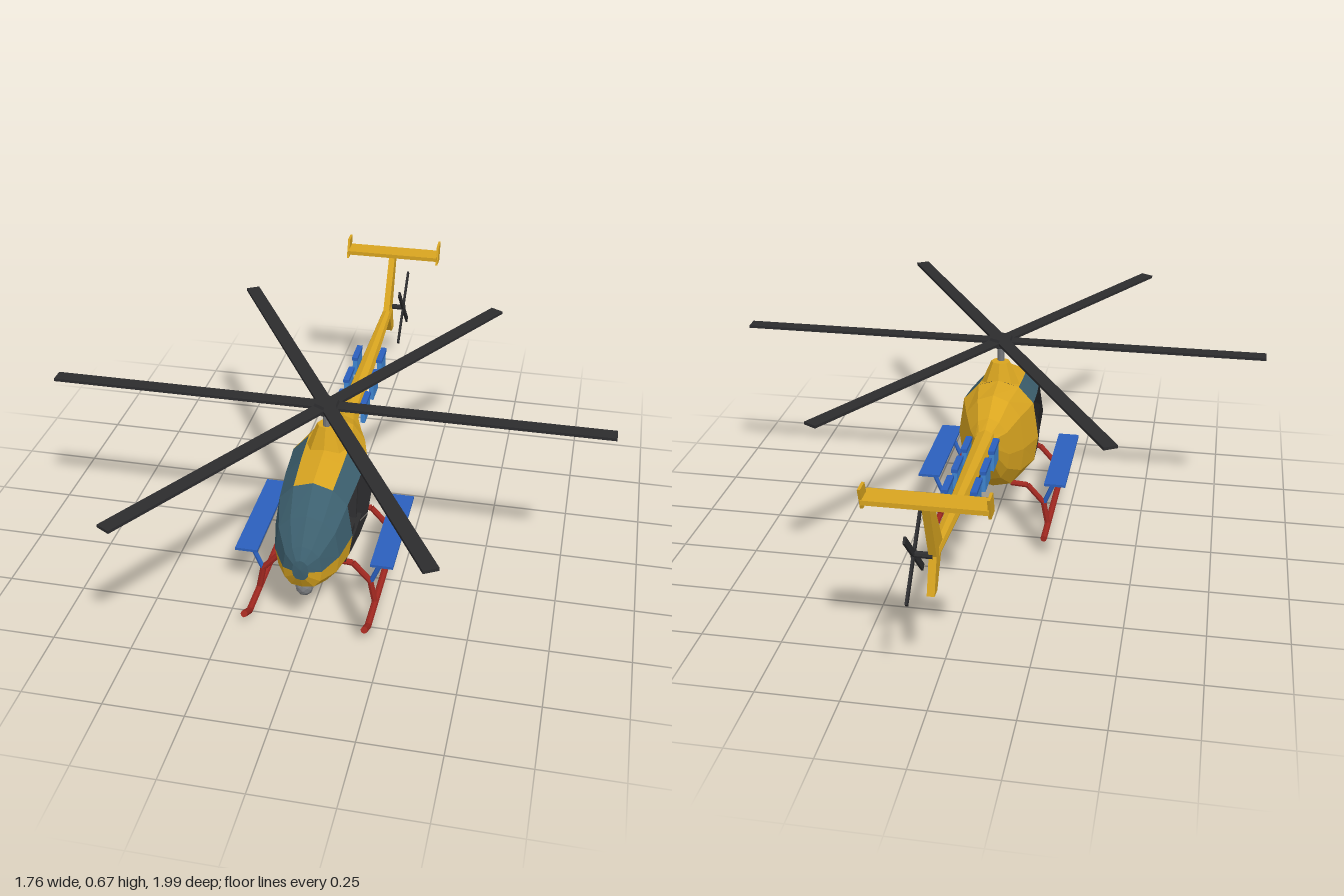
import * as THREE from 'three';

const mat = (name, color, extra = {}) => {
  const m = new THREE.MeshStandardMaterial({ color, flatShading: true, ...extra });
  m.name = name;
  return m;
};

export function createModel() {
  const root = new THREE.Group();
  root.name = 'helicopter';
  const yellow = mat('yellow paint', 0xd9a520);
  const glass = mat('dark teal glass', 0x3c5f6e);
  const dark = mat('rotor black', 0x2c2c2e);
  const red = mat('skid red', 0xa02820);
  const blue = mat('platform blue', 0x2b60bd);
  const lightBlue = mat('panel blue', 0x3f86d2);
  const grey = mat('metal grey', 0x77797c);

  const add = (name, geo, material, x = 0, y = 0, z = 0, parent = root) => {
    const m = new THREE.Mesh(geo, material);
    m.name = name;
    m.position.set(x, y, z);
    parent.add(m);
    return m;
  };
  const box = (name, w, h, d, material, x, y, z, parent) =>
    add(name, new THREE.BoxGeometry(w, h, d), material, x, y, z, parent);

  // Straight rod between two points
  const rod = (name, a, b, r0, r1, material, sides = 8) => {
    const p = new THREE.Vector3(...a), q = new THREE.Vector3(...b);
    const m = add(name, new THREE.CylinderGeometry(r1, r0, p.distanceTo(q), sides), material);
    m.position.copy(p).lerp(q, 0.5);
    m.quaternion.setFromUnitVectors(new THREE.Vector3(0, 1, 0), q.sub(p).normalize());
    return m;
  };
  const path = (name, pts, r, material) => {
    for (let i = 0; i < pts.length - 1; i++) rod(name, pts[i], pts[i + 1], r, r, material);
  };

  // Fuselage stations: z, top, bottom, half width
  const stations = [
    [0.6, 0.3, 0.23, 0.025], [0.575, 0.335, 0.185, 0.06], [0.51, 0.4, 0.16, 0.1],
    [0.42, 0.46, 0.147, 0.122], [0.3, 0.48, 0.137, 0.133], [0.18, 0.497, 0.134, 0.138],
    [0.07, 0.487, 0.15, 0.105], [-0.02, 0.445, 0.22, 0.07], [-0.1, 0.425, 0.335, 0.036],
  ];
  const fx = [0, 0.5, 0.87, 1, 0.91, 0.58, 0];
  const fy = [0, 0.06, 0.215, 0.56, 0.8, 0.96, 1];
  const ring = ([z, top, bottom, w]) => Array.from({ length: 12 }, (_, k) => {
    const j = k <= 6 ? k : 12 - k;
    return [(k <= 6 ? 1 : -1) * fx[j] * w, top + (bottom - top) * fy[j], z];
  });
  const rings = stations.map(ring);

  // Skin panels chosen by bay (nose to tail) and row (roof to belly)
  const skin = (name, material, pick, inward = false) => {
    const pos = [];
    const tri = (a, b, c) => pos.push(...a, ...(inward ? c : b), ...(inward ? b : c));
    for (let i = 0; i < rings.length - 1; i++) {
      for (let k = 0; k < 12; k++) {
        if (!pick(i, k < 6 ? k : 11 - k)) continue;
        const n = (k + 1) % 12;
        const a = rings[i][k], b = rings[i][n], c = rings[i + 1][n], d = rings[i + 1][k];
        tri(a, b, c);
        tri(a, c, d);
      }
    }
    if (pick(-1, 0)) {
      for (let k = 0; k < 12; k++) tri([0, 0.268, 0.603], rings[0][(k + 1) % 12], rings[0][k]);
    }
    const g = new THREE.BufferGeometry();
    g.setAttribute('position', new THREE.Float32BufferAttribute(pos, 3));
    g.computeVertexNormals();
    return add(name, g, material);
  };
  const isDoor = (i, r) => (i === 3 || i === 4) && (r === 2 || r === 3);
  const isGlass = (i, r) => i < 3 ? r < 3 : i < 5 && r === 1;
  skin('canopyGlass', glass, isGlass);
  skin('fuselage', yellow, (i, r) => !isGlass(i, r) && !isDoor(i, r));
  skin('cabinLining', dark, (i, r) => i < 5 && !isDoor(i, r), true);

  // Cabin interior
  const wall = new THREE.Shape(rings[5].map(([x, y]) => new THREE.Vector2(x * 0.98, y)));
  add('bulkhead', new THREE.ExtrudeGeometry(wall, { depth: 0.006, bevelEnabled: false }), dark, 0, 0, 0.176);
  box('cabinFloor', 0.21, 0.008, 0.26, dark, 0, 0.2, 0.31);
  for (const s of [1, -1]) {
    box('seatCushion', 0.085, 0.022, 0.095, dark, s * 0.055, 0.214, 0.312);
    const back = box('seatBack', 0.085, 0.125, 0.014, dark, s * 0.055, 0.288, 0.227);
    back.rotation.x = -0.2;
    rod('controlStick', [s * 0.055, 0.2, 0.385], [s * 0.055, 0.262, 0.37], 0.004, 0.004, dark, 6);
  }
  box('instrumentPanel', 0.08, 0.09, 0.03, dark, 0, 0.245, 0.46);

  // Nose sensor and engine exhaust
  add('noseSensor', new THREE.IcosahedronGeometry(0.028, 1), grey, 0, 0.168, 0.55);
  rod('exhaust', [0, 0.325, -0.03], [0, 0.315, -0.172], 0.025, 0.025, dark, 8);

  // Main rotor
  const fairing = add('mastFairing', new THREE.CylinderGeometry(0.032, 0.068, 0.085, 8), yellow, 0, 0.508, 0.218);
  fairing.scale.z = 0.85;
  rod('rotorMast', [0, 0.54, 0.227], [0, 0.615, 0.227], 0.012, 0.012, grey);
  const rotor = new THREE.Group();
  rotor.name = 'mainRotor';
  rotor.position.set(0, 0.622, 0.227);
  root.add(rotor);
  add('rotorHub', new THREE.CylinderGeometry(0.038, 0.05, 0.026, 6), dark, 0, 0, 0, rotor);
  for (let i = 0; i < 6; i++) {
    const arm = new THREE.Group();
    arm.name = 'rotorBladeArm';
    arm.rotation.y = i * Math.PI / 3;
    rotor.add(arm);
    box('rotorBlade', 0.86, 0.009, 0.046, dark, 0.45, 0, 0, arm);
  }

  // Tail boom with side panels
  rod('tailBoom', [0, 0.393, -0.07], [0, 0.429, -0.86], 0.037, 0.017, yellow, 8);
  [[-0.175, 0.387], [-0.327, 0.392], [-0.477, 0.4]].forEach(([z, y]) => {
    for (const s of [1, -1]) {
      box('boomPanel', 0.016, 0.066, 0.086, lightBlue, s * 0.044, y, z);
      box('boomPanelLid', 0.02, 0.012, 0.098, blue, s * 0.044, y + 0.033, z);
    }
  });

  // Tail fin, stabilizer and end plates, drawn as (z, y) side outlines
  const plate = (name, pts, thick, x) => {
    const shape = new THREE.Shape(pts.map(([z, y]) => new THREE.Vector2(-z, y)));
    const g = new THREE.ExtrudeGeometry(shape, { depth: thick, bevelEnabled: false });
    g.translate(0, 0, -thick / 2).rotateY(Math.PI / 2);
    return add(name, g, yellow, x);
  };
  plate('tailFin', [[-0.81, 0.44], [-0.92, 0.625], [-0.965, 0.625], [-0.89, 0.43],
    [-0.925, 0.325], [-0.888, 0.325], [-0.83, 0.415]], 0.022, 0);
  box('stabilizer', 0.34, 0.014, 0.074, yellow, 0, 0.627, -0.943);
  for (const s of [1, -1]) {
    plate('stabilizerEndPlate', [[-0.915, 0.602], [-0.94, 0.668], [-0.987, 0.668], [-0.965, 0.602]], 0.008, s * 0.17);
  }

  // Tail rotor
  rod('tailRotorShaft', [0, 0.43, -0.885], [0.06, 0.43, -0.885], 0.01, 0.01, dark);
  for (const s of [1, -1]) {
    const blade = box('tailRotorBlade', 0.007, 0.285, 0.02, dark, 0.053, 0.43, -0.885);
    blade.rotation.x = s * Math.PI / 4;
  }

  // Landing skids and side platforms
  for (const s of [1, -1]) {
    path('skid', [[s * 0.19, 0.012, -0.025], [s * 0.19, 0.012, 0.51], [s * 0.19, 0.046, 0.572]], 0.011, red);
    for (const z of [0.08, 0.39]) {
      path('skidStrut', [[s * 0.06, 0.162, z], [s * 0.118, 0.158, z], [s * 0.174, 0.095, z], [s * 0.19, 0.012, z]], 0.01, red);
      rod('platformSupport', [s * 0.176, 0.095, z], [s * 0.213, 0.184, z], 0.008, 0.008, blue);
    }
    box('sidePlatform', 0.072, 0.009, 0.4, blue, s * 0.216, 0.187, 0.233);
  }
  return root;
}
